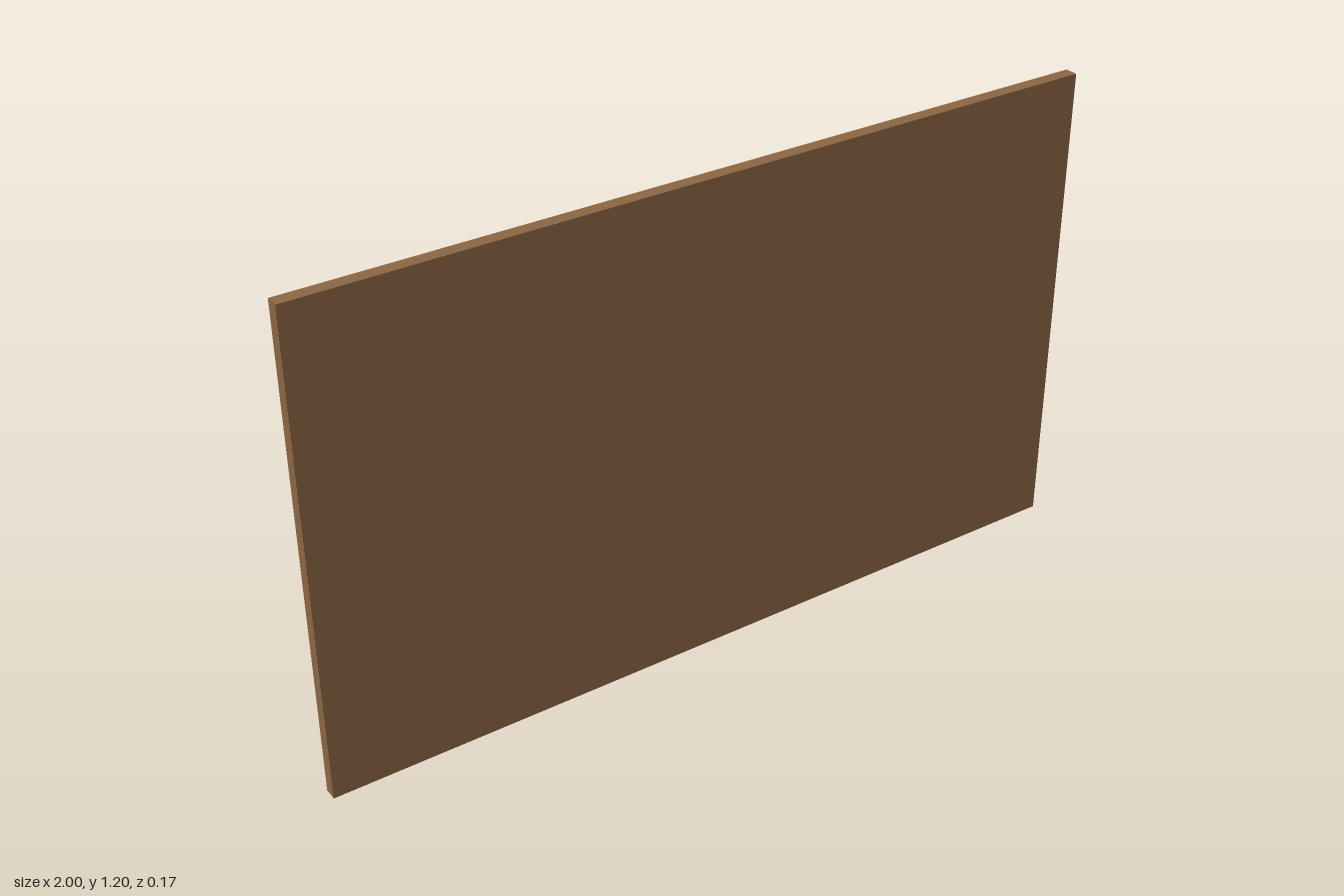
import * as THREE from 'three';
import { mergeGeometries } from 'three/addons/utils/BufferGeometryUtils.js';

const mat = (color, flatShading = false) => new THREE.MeshStandardMaterial({ color, flatShading });

export function createModel() {
  const root = new THREE.Group();
  root.name = 'toolBoard';

  const wood = mat(0x8b6542);
  const holeDark = mat(0x3a2616);
  const steel = mat(0x777b7c);
  const steelFlat = mat(0x777b7c, true);
  const black = mat(0x2e3434);
  const yellow = mat(0xb8963c);
  const yellowFlat = mat(0xb8963c, true);

  const add = (parent, name, geometry, material, x, y, z) => {
    const mesh = new THREE.Mesh(geometry, material);
    mesh.name = name;
    mesh.position.set(x, y, z);
    parent.add(mesh);
    return mesh;
  };
  const box = (w, h, d) => new THREE.BoxGeometry(w, h, d);
  const group = (name, x) => {
    const g = new THREE.Group();
    g.name = name;
    g.position.x = x;
    root.add(g);
    return g;
  };

  // Board
  add(root, 'board', box(2, 1.2, 0.032), wood, 0, 0.6, 0.069);

  // Grid of peg holes on the tool side
  const holes = [];
  for (let i = 0; i < 21; i++) {
    for (let j = 0; j < 11; j++) {
      const g = new THREE.CylinderGeometry(0.0065, 0.0065, 0.006, 8);
      g.rotateX(Math.PI / 2);
      g.translate(-0.94 + i * 0.094, 0.067 + j * 0.1066, 0.053);
      holes.push(g);
    }
  }
  add(root, 'pegHoles', mergeGeometries(holes), holeDark, 0, 0, 0);

  // Wrenches: flat shaft, round head, jaw slot
  for (let i = 0; i < 4; i++) {
    const g = group('wrench', 0.36 + i * 0.16);
    add(g, 'wrenchShaft', box(0.024, 0.29, 0.015), steel, 0, 0.652, 0.0265);
    const head = new THREE.CylinderGeometry(0.044, 0.044, 0.02, 16);
    head.rotateX(Math.PI / 2);
    add(g, 'wrenchHead', head, steelFlat, 0, 0.825, 0.0245);
    add(g, 'wrenchJaw', box(0.021, 0.052, 0.024), wood, 0, 0.847, 0.0245);
  }

  // Screwdrivers: rounded faceted handle over a thin shaft
  const handleProfile = [
    [0, 0], [0.009, 0.003], [0.0135, 0.012], [0.0135, 0.133], [0.009, 0.142], [0, 0.145],
  ].map(([r, y]) => new THREE.Vector2(r, y));
  for (let i = 0; i < 5; i++) {
    const g = group('screwdriver', -0.39 - i * 0.115);
    add(g, 'screwdriverHandle', new THREE.LatheGeometry(handleProfile, 8), yellowFlat, 0, 0.828, 0.026);
    add(g, 'screwdriverShaft', new THREE.CylinderGeometry(0.006, 0.006, 0.325, 8), steelFlat, 0, 0.67, 0.026);
  }

  // Hammer
  const hammer = group('hammer', -0.15);
  add(hammer, 'hammerHandle', box(0.033, 0.385, 0.033), wood, 0, 0.6655, 0.0135);
  add(hammer, 'hammerHead', box(0.17, 0.053, 0.053), black, 0, 0.8815, 0.0135);

  // Spirit level with two windows
  const level = group('level', 0.56);
  add(level, 'levelBody', box(0.58, 0.056, 0.042), yellow, 0, 0.203, 0);
  for (const s of [-1, 1]) {
    add(level, 'levelWindow', box(0.052, 0.024, 0.01), black, s * 0.195, 0.203, -0.022);
  }

  // Storage bins
  for (let i = 0; i < 3; i++) {
    add(root, 'bin', box(0.216, 0.074, 0.128), black, -0.735 + i * 0.28, 0.161, -0.02);
  }

  return root;
}
